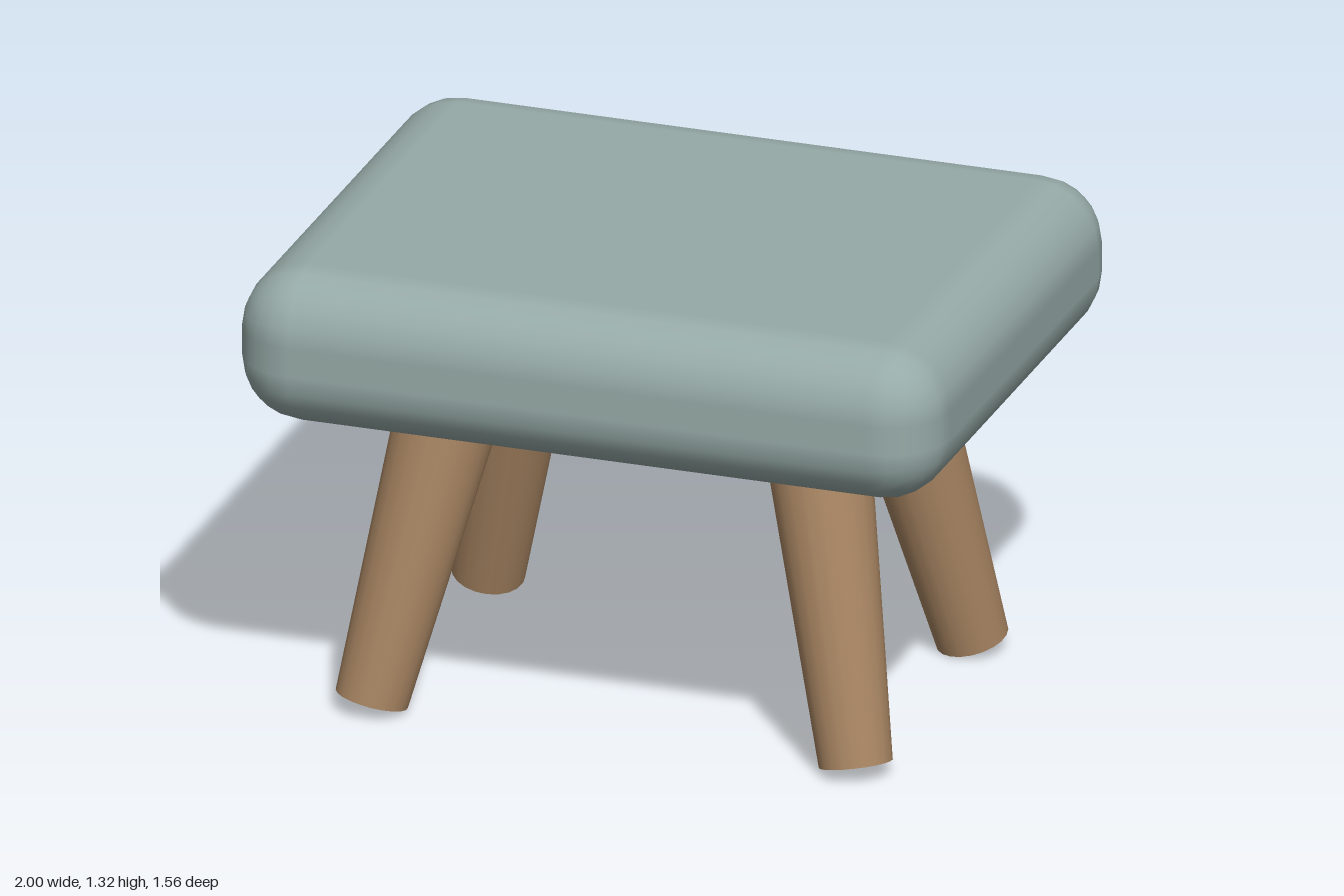
import * as THREE from 'three';
import { RoundedBoxGeometry } from 'three/addons/geometries/RoundedBoxGeometry.js';

export function createModel() {
  const model = new THREE.Group();
  model.name = 'footstool';

  const fabric = new THREE.MeshStandardMaterial({ color: 0x96aaa7 });
  fabric.name = 'grey green fabric';
  const wood = new THREE.MeshStandardMaterial({ color: 0xa98663 });
  wood.name = 'brown wood';

  // Padded seat with rounded edges
  const seat = new THREE.Mesh(new RoundedBoxGeometry(2, 0.44, 1.556, 3, 0.18), fabric);
  seat.name = 'seat';
  seat.position.y = 1.1;
  model.add(seat);

  // Tapered legs, splayed outwards and ending inside the seat
  const up = new THREE.Vector3(0, 1, 0);
  for (const sz of [1, -1]) {
    for (const sx of [1, -1]) {
      const foot = new THREE.Vector3(0.687 * sx, 0.027, 0.47 * sz);
      const top = new THREE.Vector3(0.499 * sx, 0.96, 0.279 * sz);
      const axis = top.clone().sub(foot);
      const leg = new THREE.Mesh(new THREE.CylinderGeometry(0.148, 0.1, axis.length(), 20), wood);
      leg.name = (sz > 0 ? 'front' : 'back') + (sx > 0 ? 'Left' : 'Right') + 'Leg';
      leg.position.copy(foot).add(top).multiplyScalar(0.5);
      leg.quaternion.setFromUnitVectors(up, axis.normalize());
      model.add(leg);
    }
  }
  return model;
}
